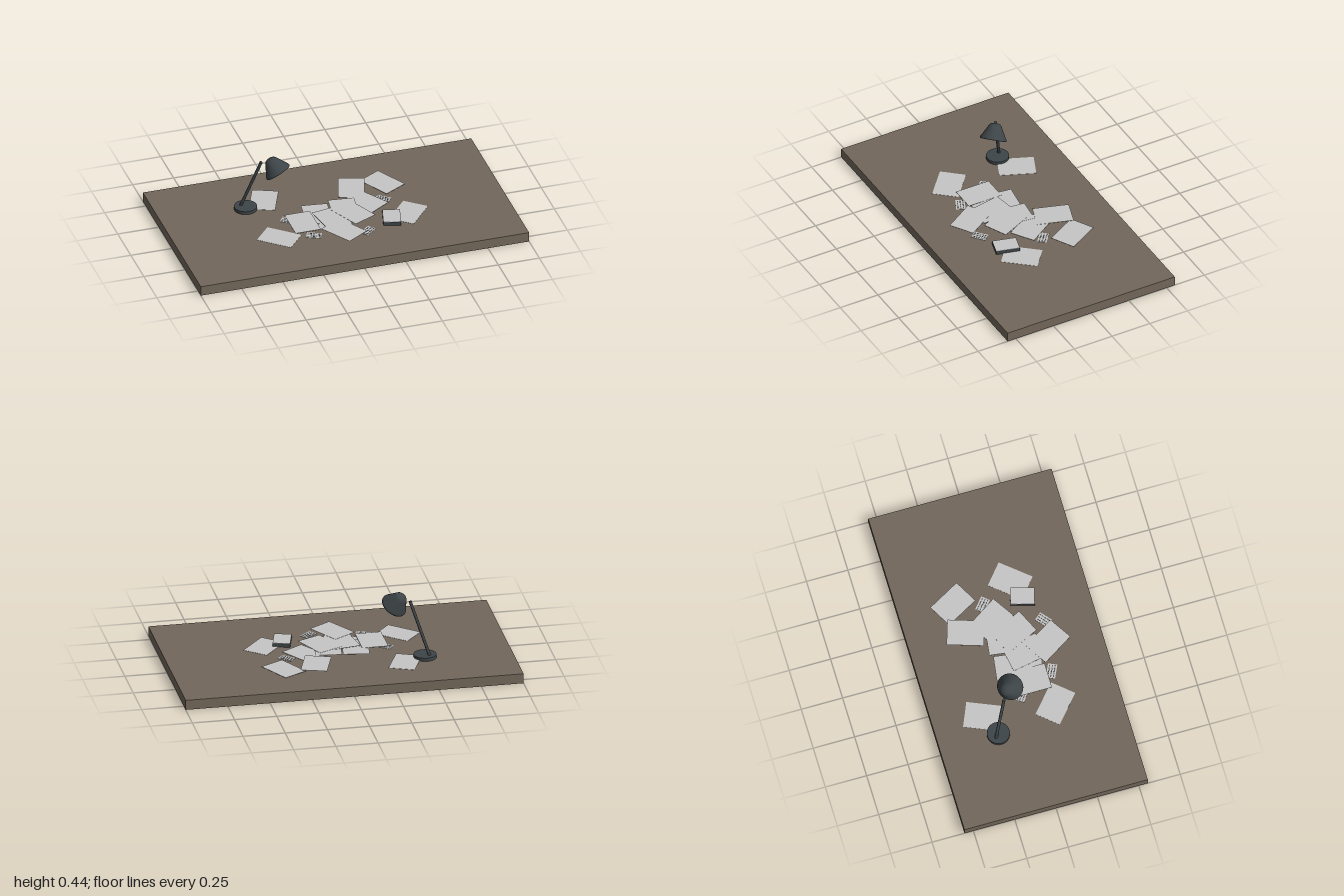
import * as THREE from 'three';

const material = (name, color, side = THREE.FrontSide) => {
  const m = new THREE.MeshStandardMaterial({ color, side });
  m.name = name;
  return m;
};

export function createModel() {
  const wood = material('brown wood', 0x73675b);
  const paper = material('grey paper', 0xc6c6c6);
  const metal = material('dark metal', 0x3e4548);
  const shadeMetal = material('dark shade metal', 0x3d4447, THREE.DoubleSide);
  const ink = material('dark ink', 0x55565a);

  const model = new THREE.Group();
  model.name = 'deskWithLamp';
  const add = (name, geometry, mat, x, y, z, parent = model) => {
    const mesh = new THREE.Mesh(geometry, mat);
    mesh.name = name;
    mesh.position.set(x, y, z);
    parent.add(mesh);
    return mesh;
  };

  // Table slab
  const top = 0.06;
  add('tableTop', new THREE.BoxGeometry(2, top, 1.108), wood, 0, top / 2, 0);

  // Loose sheets: x, y, z, direction of the long side in degrees from +x towards +z
  const sheets = [
    [-0.36, 0.064, -0.255, 113],
    [-0.4, 0.063, 0.17, 41],
    [-0.225, 0.076, 0.07, 90],
    [-0.115, 0.071, 0, 98],
    [0.05, 0.079, 0, 97],
    [0.16, 0.078, -0.21, 108],
    [0.355, 0.068, -0.23, 61],
    [0.195, 0.074, -0.045, 57],
    [0.4, 0.063, 0.13, 130],
    [-0.025, 0.083, 0.235, 58],
    [0.085, 0.081, 0.06, 65],
    [-0.05, 0.08, 0.085, 80],
    [-0.08, 0.067, 0.1, 20],
    [0.04, 0.065, 0.05, 150],
  ];
  const sheetGeometry = new THREE.BoxGeometry(0.216, 0.0012, 0.155);
  const sheetGroup = new THREE.Group();
  sheetGroup.name = 'looseSheets';
  model.add(sheetGroup);
  for (const [x, y, z, deg] of sheets) {
    add('sheet', sheetGeometry, paper, x, y, z, sheetGroup).rotation.y = -THREE.MathUtils.degToRad(deg);
  }

  // Small written notes tucked under the sheets
  const noteGeometry = new THREE.BoxGeometry(0.14, 0.002, 0.055);
  const lineGeometry = new THREE.BoxGeometry(0.018, 0.001, 0.006);
  for (const [x, z, deg] of [[0.305, -0.065, 40], [0.115, 0.25, 140], [-0.2, 0.205, 25], [-0.29, 0, 35]]) {
    const note = new THREE.Group();
    note.name = 'note';
    note.position.set(x, top + 0.001, z);
    note.rotation.y = -THREE.MathUtils.degToRad(deg);
    note.scale.x = 0.62;
    model.add(note);
    add('noteSheet', noteGeometry, paper, 0, 0, 0, note);
    for (let row = -1; row <= 1; row++) {
      for (let i = -2; i <= 2; i++) {
        add('noteMark', lineGeometry, ink, i * 0.026 + row * 0.004, 0.0015, row * 0.016, note);
      }
    }
  }

  // Notepad: dark block with a pale top sheet
  const pad = new THREE.Group();
  pad.name = 'notepad';
  pad.position.set(0.285, top, 0.17);
  pad.rotation.y = -THREE.MathUtils.degToRad(15);
  model.add(pad);
  add('padBlock', new THREE.BoxGeometry(0.103, 0.022, 0.142), metal, 0, 0.012, 0, pad);
  add('padTopSheet', new THREE.BoxGeometry(0.102, 0.002, 0.141), paper, 0, 0.024, 0, pad);

  // Desk lamp
  const lamp = new THREE.Group();
  lamp.name = 'deskLamp';
  model.add(lamp);
  add('lampBase', new THREE.CylinderGeometry(0.067, 0.067, 0.02, 40), metal, -0.487, top + 0.01, -0.2, lamp);

  const up = new THREE.Vector3(0, 1, 0);
  const foot = new THREE.Vector3(-0.512, 0.07, -0.222);
  const tip = new THREE.Vector3(-0.41, 0.395, -0.143);
  const along = tip.clone().sub(foot);
  const mid = foot.clone().add(tip).multiplyScalar(0.5);
  add('lampArm', new THREE.CylinderGeometry(0.009, 0.009, along.length(), 16), metal, ...mid.toArray(), lamp)
    .quaternion.setFromUnitVectors(up, along.normalize());

  // Open conical shade with a domed crown, tilted towards the sheets
  const profile = [
    [0.074, 0.002], [0.078, 0], [0.079, 0.006], [0.076, 0.014], [0.06, 0.042],
    [0.042, 0.075], [0.036, 0.086], [0.028, 0.094], [0.015, 0.099], [0, 0.101],
  ].map(([r, y]) => new THREE.Vector2(r, y));
  add('lampShade', new THREE.LatheGeometry(profile, 40), shadeMetal, -0.325, 0.345, -0.08, lamp)
    .quaternion.setFromUnitVectors(up, new THREE.Vector3(-0.43, 0.79, -0.42).normalize());

  return model;
}
